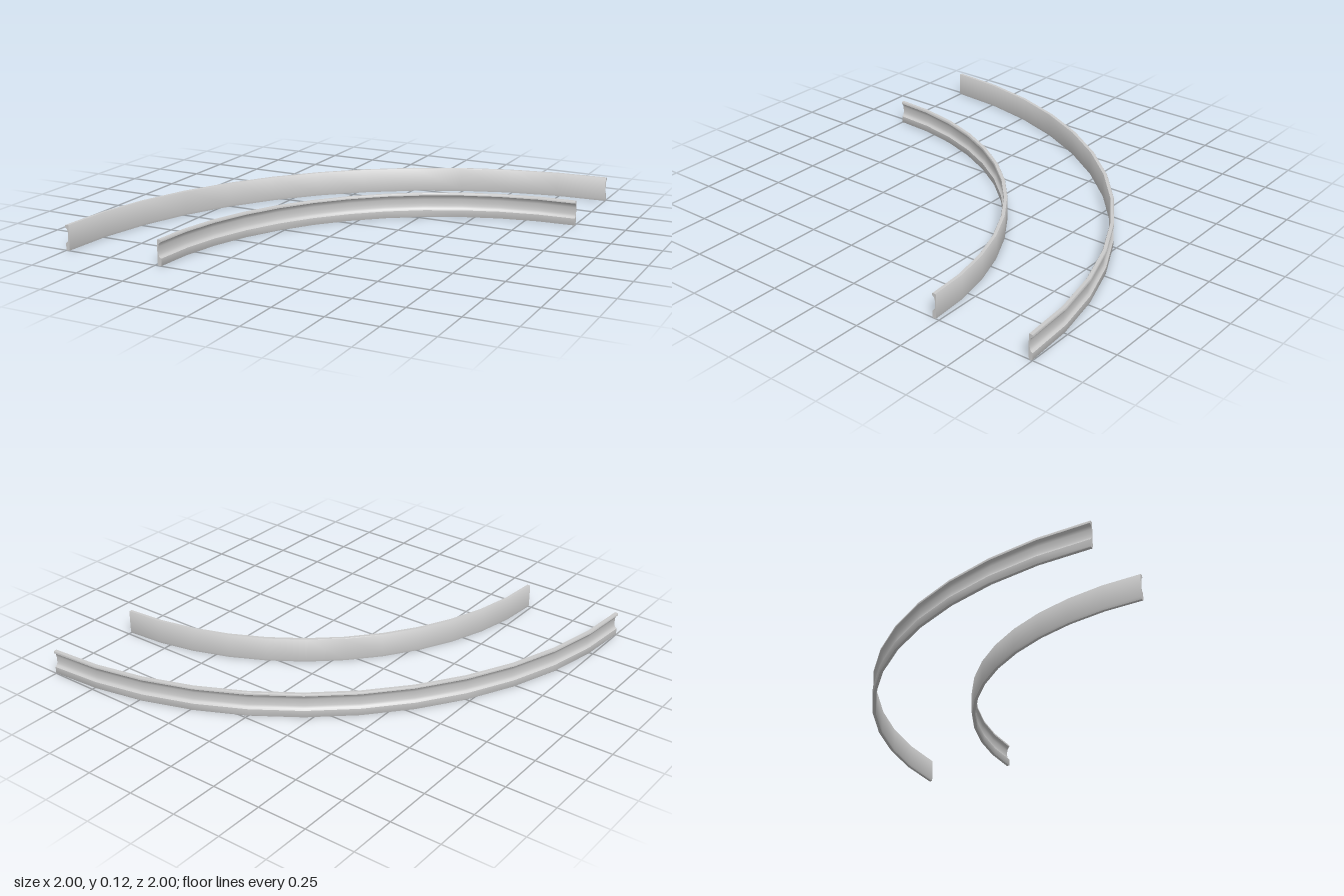
import * as THREE from 'three';
import { mergeGeometries, toCreasedNormals } from 'three/addons/utils/BufferGeometryUtils.js';

const SEGMENTS = 12;
const START = Math.PI;
const SWEEP = Math.PI / 2;

// Rail cross-section: [distance from the flat side, height]
const PROFILE = [
  [0.003, 0], [0.018, 0], [0.02, 0.004], [0.02, 0.036],
  [0.01, 0.043], [0.006, 0.055], [0.005, 0.07], [0.006, 0.09], [0.01, 0.105],
  [0.02, 0.113], [0.02, 0.122], [0.018, 0.125],
  [0.002, 0.125], [0, 0.122], [0, 0.012],
];

// Quarter-circle rail; side = 1 puts the channel outside, -1 inside
function makeRail(name, flatRadius, side, material) {
  const points = PROFILE.map(([d, y]) => new THREE.Vector2(flatRadius + side * d, y));
  if (side < 0) points.reverse();

  const body = new THREE.LatheGeometry([...points, points[0].clone()], SEGMENTS, START, SWEEP);

  // Flat caps on the two cut ends
  const startCap = new THREE.ShapeGeometry(new THREE.Shape(points));
  startCap.rotateY(START - Math.PI / 2);
  const endCap = new THREE.ShapeGeometry(new THREE.Shape(points));
  endCap.index.array.reverse();
  endCap.rotateY(START + SWEEP - Math.PI / 2);

  const merged = mergeGeometries([body, startCap, endCap].map((g) => g.toNonIndexed()));
  const rail = new THREE.Mesh(toCreasedNormals(merged, THREE.MathUtils.degToRad(50)), material);
  rail.name = name;
  rail.position.set(1, 0, 1); // shared centre of the curve
  return rail;
}

export function createModel() {
  const group = new THREE.Group();
  group.name = 'curvedRails';
  const material = new THREE.MeshStandardMaterial({ color: 0xcccccc });
  group.add(
    makeRail('outerRail', 1.98, 1, material),
    makeRail('innerRail', 1.485, -1, material),
  );
  return group;
}
